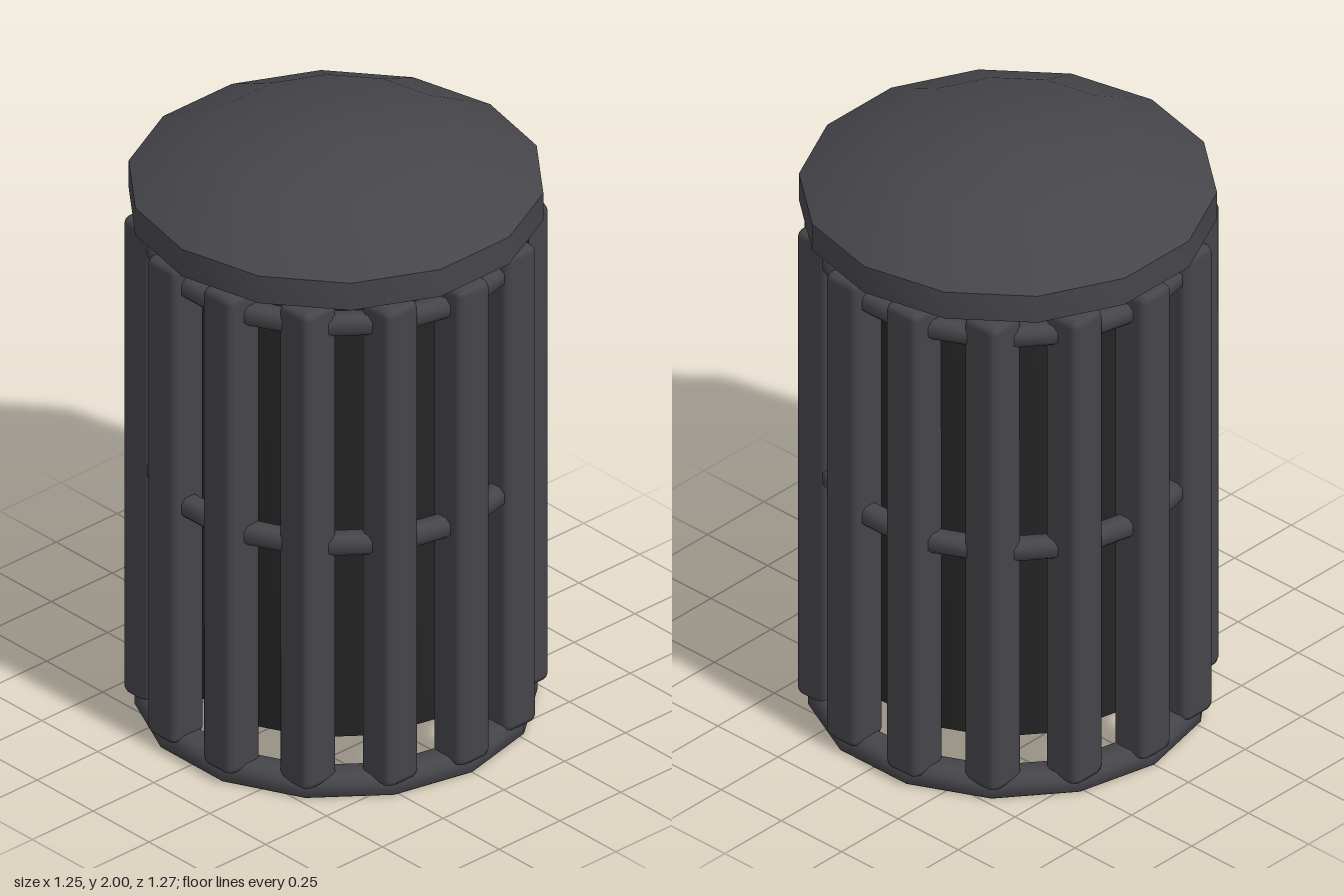
import * as THREE from 'three';
import { toCreasedNormals } from 'three/addons/utils/BufferGeometryUtils.js';
import { RoundedBoxGeometry } from 'three/addons/geometries/RoundedBoxGeometry.js';

const SIDES = 14;
const SLAT_RADIUS = 0.56;

// Revolved 14-sided part; points run counterclockwise in (radius, height)
function revolve(name, points, material, start, crease = 0.6) {
  const profile = points.map(([r, y]) => new THREE.Vector2(r, y));
  const lathe = new THREE.LatheGeometry(profile, SIDES, start, Math.PI * 2);
  const mesh = new THREE.Mesh(toCreasedNormals(lathe, crease), material);
  mesh.name = name;
  return mesh;
}

// Hoop with a bevelled rectangular section
function hoop(name, inner, outer, bottom, top, bevelLow, bevelHigh, material) {
  const a = bevelLow, b = bevelHigh;
  return revolve(name, [
    [inner + a, bottom], [outer - a, bottom], [outer, bottom + a], [outer, top - b],
    [outer - b, top], [inner + b, top], [inner, top - b], [inner, bottom + a], [inner + a, bottom],
  ], material, Math.PI / 2, 0.9);
}

export function createModel() {
  const group = new THREE.Group();
  group.name = 'litterBin';

  const frame = new THREE.MeshStandardMaterial({ color: 0x45454a });
  frame.name = 'charcoal frame';
  const liner = new THREE.MeshStandardMaterial({ color: 0x242424, side: THREE.DoubleSide });
  liner.name = 'black liner';

  // Domed lid, hovering just above the slats
  group.add(revolve('lid', [
    [0, 1.735], [0.635, 1.735], [0.635, 1.83], [0.385, 1.963], [0, 2],
  ], frame, 0));

  // Square bevelled slats in a circle, all kept parallel to the axes
  const slats = new THREE.Group();
  slats.name = 'slats';
  const slatGeometry = new RoundedBoxGeometry(0.13, 1.675, 0.13, 1, 0.024);
  for (let i = 0; i < SIDES; i++) {
    const angle = (i / SIDES) * Math.PI * 2;
    const slat = new THREE.Mesh(slatGeometry, frame);
    slat.name = 'slat';
    slat.position.set(Math.cos(angle) * SLAT_RADIUS, 0.8775, Math.sin(angle) * SLAT_RADIUS);
    slats.add(slat);
  }
  group.add(slats);

  // Hoops tying the slats together
  group.add(hoop('baseRing', 0.5, 0.612, 0, 0.066, 0.005, 0.022, frame));
  group.add(hoop('middleRing', 0.525, 0.596, 0.833, 0.9, 0.016, 0.016, frame));
  group.add(hoop('topRing', 0.525, 0.596, 1.605, 1.672, 0.016, 0.016, frame));

  // Open inner container
  group.add(revolve('liner', [[0, 0.13], [0.465, 0.13], [0.465, 1.665]], liner, Math.PI / 2));

  return group;
}
